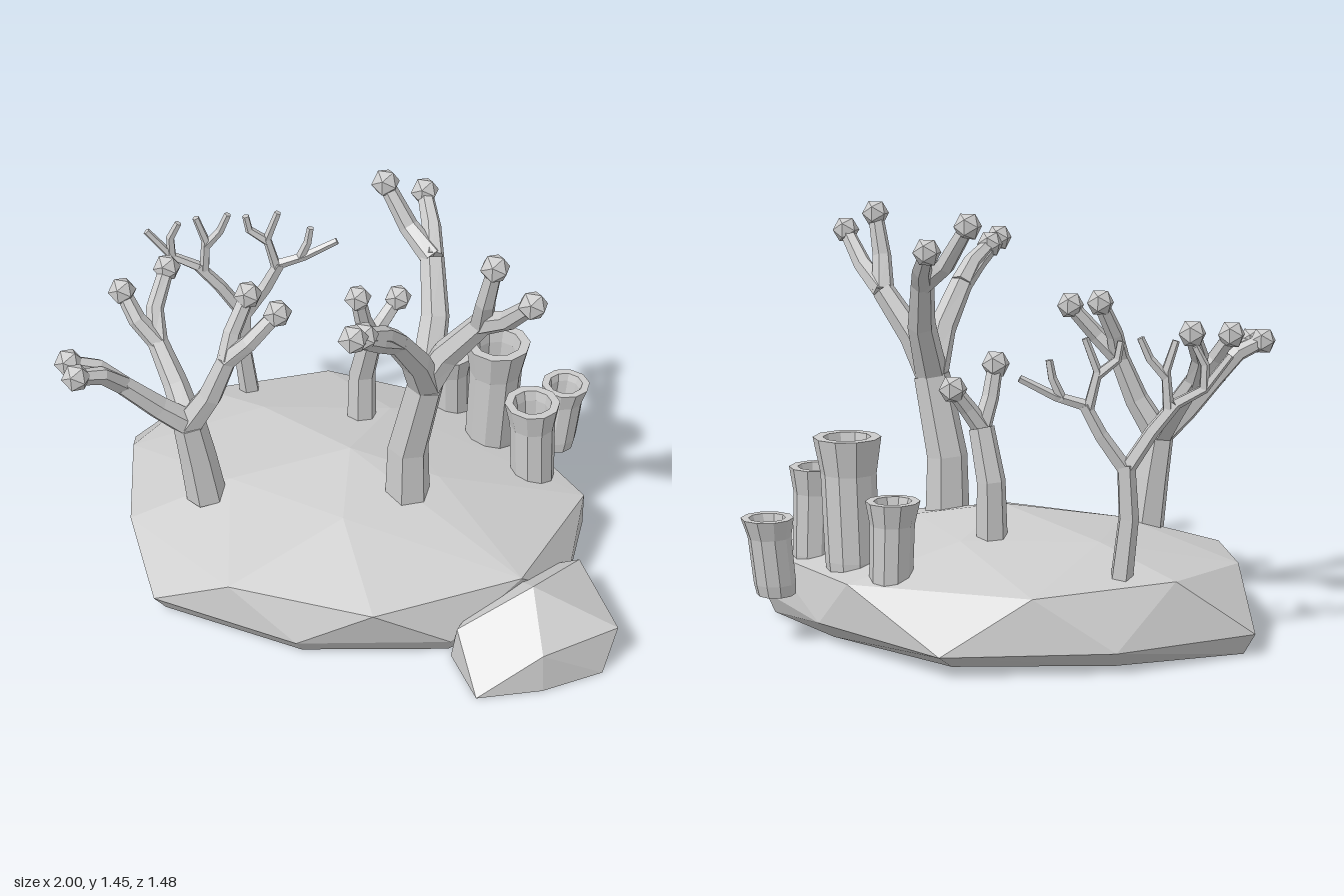
import * as THREE from 'three';
import { ConvexGeometry } from 'three/addons/geometries/ConvexGeometry.js';

const material = new THREE.MeshStandardMaterial({ color: 0xcccccc, flatShading: true });
const doubleSided = material.clone();
doubleSided.side = THREE.DoubleSide;
const UP = new THREE.Vector3(0, 1, 0);
const vec = (p) => new THREE.Vector3(...p);

function add(parent, name, geometry, mat = material) {
  const mesh = new THREE.Mesh(geometry, mat);
  mesh.name = name;
  parent.add(mesh);
  return mesh;
}

// Faceted tapering limb swept along a few points
function limb(points, r0, r1, sides = 6) {
  const pts = points.map(vec);
  const n = pts.length - 1;
  const turns = pts.map((p, i) => {
    const dir = pts[Math.min(i + 1, n)].clone().sub(pts[Math.max(i - 1, 0)]).normalize();
    return new THREE.Quaternion().setFromUnitVectors(UP, dir);
  });
  const geometry = new THREE.CylinderGeometry(1, 1, 1, sides, n);
  const pos = geometry.attributes.position;
  const v = new THREE.Vector3();
  for (let k = 0; k < pos.count; k++) {
    const i = Math.round((pos.getY(k) + 0.5) * n);
    const r = r0 + (r1 - r0) * i / n;
    v.set(pos.getX(k) * r, 0, pos.getZ(k) * r).applyQuaternion(turns[i]).add(pts[i]);
    pos.setXYZ(k, v.x, v.y, v.z);
  }
  geometry.computeVertexNormals();
  return geometry;
}

// Trunk, forked branches and a faceted knob on every tip
function knobCoral(name, trunk, r, branches) {
  const coral = new THREE.Group();
  coral.name = name;
  add(coral, 'trunk', limb(trunk, r, r * 0.8));
  const fork = trunk[trunk.length - 1];
  for (const { path, twigs } of branches) {
    const start = path.length ? path[path.length - 1] : fork;
    if (path.length) add(coral, 'branch', limb([fork, ...path], r * 0.72, r * 0.5));
    for (const twig of twigs) {
      add(coral, 'twig', limb([start, ...twig], Math.max(r * 0.5, 0.034), 0.027));
      add(coral, 'knob', new THREE.IcosahedronGeometry(0.05, 0)).position.copy(vec(twig[twig.length - 1]));
    }
  }
  return coral;
}

// Flat fan of thin twigs; u runs along the plane of the fan
function fanCoral() {
  const fan = new THREE.Group();
  fan.name = 'fanCoral';
  const at = ([u, y]) => [-0.58 + u, y, -0.345 - 0.35 * u];
  const strands = [
    [[[0.01, 0.27], [-0.01, 0.48], [0, 0.66]], 0.04, 0.032],
    [[[0, 0.64], [-0.08, 0.77], [-0.15, 0.86]], 0.028, 0.022],
    [[[0, 0.64], [0.08, 0.76], [0.13, 0.86]], 0.028, 0.022],
    [[[-0.15, 0.86], [-0.24, 0.91], [-0.32, 1.02]], 0.02, 0.013],
    [[[-0.24, 0.91], [-0.24, 0.99], [-0.21, 1.05]], 0.018, 0.013],
    [[[-0.13, 0.84], [-0.12, 0.97], [-0.15, 1.07]], 0.02, 0.013],
    [[[-0.12, 0.95], [-0.07, 1.01], [-0.04, 1.08]], 0.018, 0.013],
    [[[0.13, 0.86], [0.22, 0.89], [0.33, 0.95]], 0.02, 0.013],
    [[[0.2, 0.88], [0.23, 0.95], [0.24, 1.01]], 0.018, 0.013],
    [[[0.12, 0.84], [0.09, 0.97], [0.13, 1.08]], 0.02, 0.013],
    [[[0.09, 0.96], [0.03, 1.01], [0.02, 1.07]], 0.018, 0.013],
  ];
  for (const [path, r0, r1] of strands) add(fan, 'fanBranch', limb(path.map(at), r0, r1, 5));
  return fan;
}

// Hollow tube with a flared rim, leaning slightly
function tubeSponge(x, z, top, bottom, r, leanX, leanZ) {
  const h = top - bottom;
  const profile = [[0, 0], [0.74, 0], [0.8, 0.15], [0.82, 0.75], [1, 1], [0.7, 1], [0.62, 0.9], [0.56, 0.35], [0, 0.35]]
    .map(([a, b]) => new THREE.Vector2(a * r, b * h));
  const geometry = new THREE.LatheGeometry(profile, 10);
  const pos = geometry.attributes.position;
  for (let k = 0; k < pos.count; k++) {
    const drop = 1 - pos.getY(k) / h;
    pos.setX(k, pos.getX(k) + leanX * drop);
    pos.setZ(k, pos.getZ(k) + leanZ * drop);
  }
  geometry.translate(x, bottom, z);
  geometry.computeVertexNormals();
  return geometry;
}

export function createModel() {
  const model = new THREE.Group();
  model.name = 'coralReef';

  // Main boulder: crown, shoulder, waist and a flat foot
  const waist = [[-1, -0.2], [-0.61, 0.64], [-0.06, 0.72], [0.45, 0.57], [0.78, 0.2],
    [0.77, -0.17], [0.45, -0.48], [-0.06, -0.74], [-0.6, -0.54]];
  const rock = [
    [-0.06, 0.41, 0.04], [-0.46, 0.35, -0.18], [0.27, 0.35, 0.04], [-0.45, 0.34, 0.24], [0, 0.35, -0.3], [0, 0.34, 0.34],
    [-0.9, 0.25, 0.05], [-0.77, 0.23, 0.42], [-0.32, 0.22, 0.66], [0.2, 0.22, 0.67], [0.65, 0.25, 0.38], [0.77, 0.22, -0.15],
    [0.32, 0.24, -0.55], [-0.33, 0.25, -0.59], [-0.75, 0.27, -0.32],
    ...waist.map(([x, z]) => [x, 0.075, z]),
    ...waist.map(([x, z]) => [x * 0.96, 0, z * (z < -0.4 ? 0.8 : 0.93)]),
  ];
  add(model, 'mainRock', new ConvexGeometry(rock.map(vec)));

  // Small boulder at the front left
  const smallRock = [
    [0.7, 0.27, 0.43], [0.81, 0.16, 0.13], [1, 0.145, 0.42], [0.78, 0.14, 0.62], [0.47, 0.14, 0.57], [0.55, 0.14, 0.25],
    [0.97, 0, 0.5], [0.79, 0, 0.64], [0.58, 0, 0.735], [0.45, 0, 0.56], [0.55, 0, 0.25], [0.8, 0, 0.2], [0.96, 0, 0.36],
  ];
  add(model, 'smallRock', new ConvexGeometry(smallRock.map(vec)));

  model.add(knobCoral('tallCoral', [[0.18, 0.31, 0.14], [0.18, 0.55, 0.14], [0.24, 0.84, 0.15]], 0.083, [
    { path: [[0.31, 0.98, 0.15], [0.43, 1.14, 0.17]],
      twigs: [[[0.45, 1.26, 0.22], [0.48, 1.41, 0.24]], [[0.53, 1.22, 0.24], [0.62, 1.34, 0.31]]] },
    { path: [[0.23, 1.0, 0.25], [0.19, 1.15, 0.36]],
      twigs: [[[0.16, 1.22, 0.47], [0.11, 1.3, 0.58]], [[0.17, 1.22, 0.43], [0.13, 1.28, 0.53]]] },
    { path: [[0.24, 1.04, 0.03], [0.2, 1.2, -0.08]],
      twigs: [[[0.1, 1.27, -0.14], [0.01, 1.41, -0.17]], [[0.17, 1.26, -0.18], [0.12, 1.33, -0.28]]] },
  ]));

  model.add(knobCoral('forkedCoral', [[-0.52, 0.3, 0.3], [-0.54, 0.48, 0.31], [-0.56, 0.63, 0.32]], 0.072, [
    { path: [[-0.48, 0.76, 0.31], [-0.42, 0.91, 0.29]],
      twigs: [[[-0.41, 1.0, 0.25], [-0.37, 1.12, 0.19]], [[-0.34, 0.99, 0.28], [-0.25, 1.1, 0.24]]] },
    { path: [[-0.65, 0.72, 0.37], [-0.75, 0.84, 0.43]],
      twigs: [[[-0.82, 0.92, 0.46], [-0.9, 0.96, 0.51]], [[-0.79, 0.92, 0.5], [-0.85, 0.95, 0.57]]] },
    { path: [[-0.63, 0.74, 0.25], [-0.71, 0.86, 0.19]],
      twigs: [[[-0.78, 0.94, 0.19], [-0.84, 1.03, 0.16]], [[-0.74, 0.95, 0.12], [-0.73, 1.05, 0.01]]] },
  ]));

  model.add(knobCoral('shortCoral', [[-0.09, 0.33, -0.22], [-0.09, 0.55, -0.23], [-0.05, 0.73, -0.21]], 0.056, [
    { path: [], twigs: [[[-0.07, 0.83, -0.17], [-0.08, 0.94, -0.14]], [[-0.01, 0.8, -0.24], [0.03, 0.87, -0.28]]] },
  ]));

  model.add(fanCoral());

  // Tube sponges at the back left
  const tubes = [
    [0.39, -0.34, 0.7, 0.2, 0.117, -0.02, -0.01],
    [0.55, -0.205, 0.56, 0.19, 0.1, 0.02, 0.01],
    [0.62, -0.507, 0.44, 0.17, 0.09, -0.02, 0.02],
    [0.18, -0.48, 0.52, 0.2, 0.092, 0.01, 0],
  ];
  for (const t of tubes) add(model, 'tubeSponge', tubeSponge(...t), doubleSided);
  return model;
}
